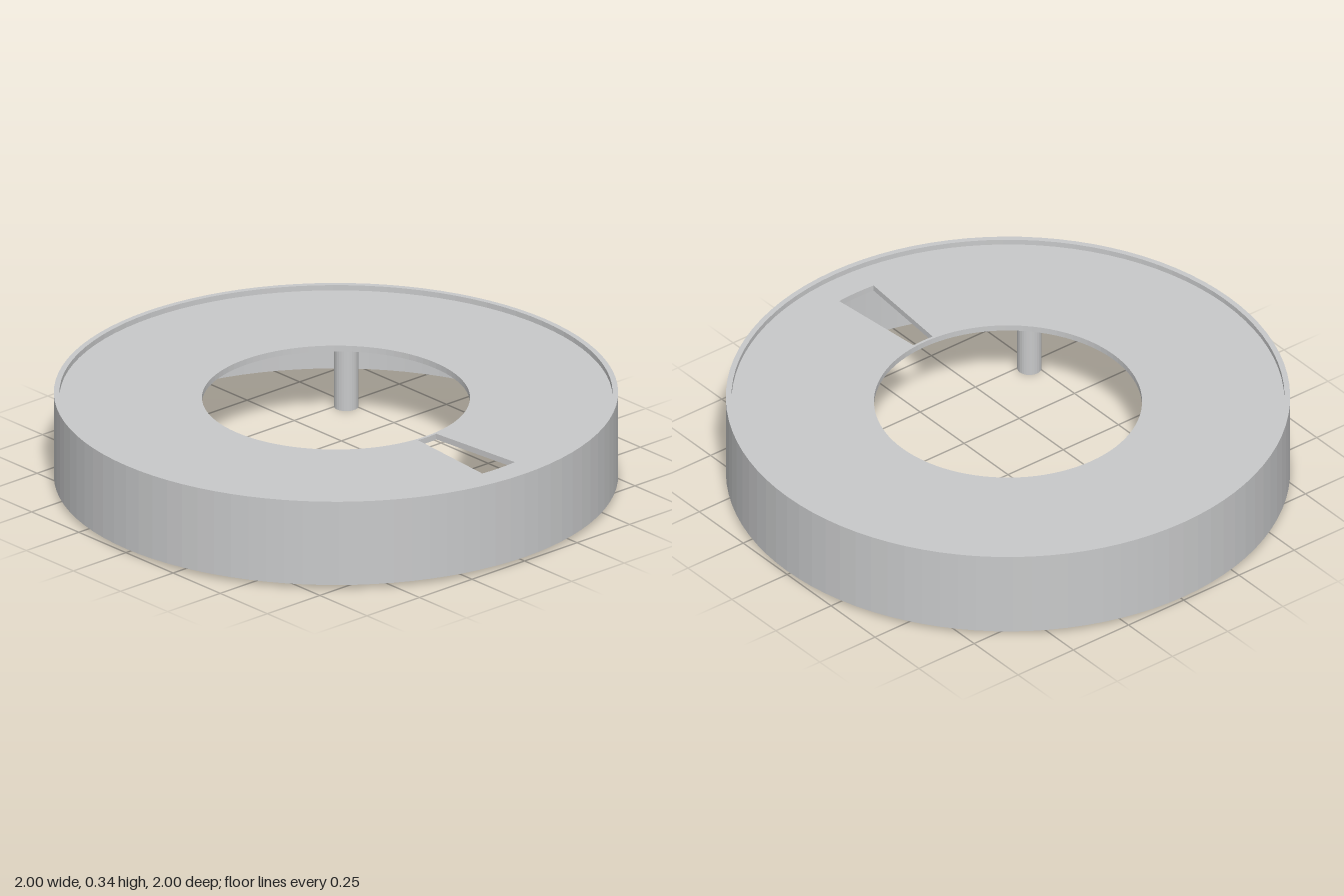
import * as THREE from 'three';

const TAU = Math.PI * 2;

// Circular outline, or a hole when used as a path
function circle(radius, Type = THREE.Path) {
  const c = new Type();
  c.absarc(0, 0, radius, 0, TAU, false);
  return c;
}

// Extrude a shape drawn in x/z straight down from yTop to yBottom
function slab(shape, yTop, yBottom, curveSegments) {
  const g = new THREE.ExtrudeGeometry(shape, { depth: yTop - yBottom, bevelEnabled: false, curveSegments });
  g.rotateX(Math.PI / 2);
  g.translate(0, yTop, 0);
  return g;
}

export function createModel() {
  const group = new THREE.Group();
  const grey = new THREE.MeshStandardMaterial({ color: 0xc8c9ca });
  grey.name = 'light grey';

  const add = (name, geometry, x = 0, z = 0) => {
    const mesh = new THREE.Mesh(geometry, grey);
    mesh.name = name;
    mesh.position.set(x, 0, z);
    group.add(mesh);
  };

  const bottom = 0.015, top = 0.335;
  const plateTop = 0.315, plateBottom = 0.293;

  // Thin outer wall
  const wall = circle(1, THREE.Shape);
  wall.holes.push(circle(0.98));
  add('outerWall', slab(wall, top, bottom, 48));

  // Recessed plate with a round opening and a radial slot at the front
  const plate = circle(0.98, THREE.Shape);
  const slot = new THREE.Path();
  const mid = Math.PI / 2, half = 0.09;
  slot.absarc(0, 0, 0.866, mid - half, mid + half, false);
  slot.absarc(0, 0, 0.485, mid + half, mid - half, true);
  slot.closePath();
  plate.holes.push(circle(0.475), slot);
  add('plate', slab(plate, plateTop, plateBottom, 48));

  // Four posts under the plate, each with a blind screw hole
  const postTube = circle(0.043, THREE.Shape);
  postTube.holes.push(circle(0.014));
  const tubeGeometry = slab(postTube, 0.12, 0, 14);
  const coreGeometry = slab(circle(0.043, THREE.Shape), plateBottom, 0.12, 14);
  for (const x of [-0.473, 0.473]) {
    for (const z of [-0.473, 0.473]) {
      add('postEnd', tubeGeometry, x, z);
      add('post', coreGeometry, x, z);
    }
  }
  return group;
}
